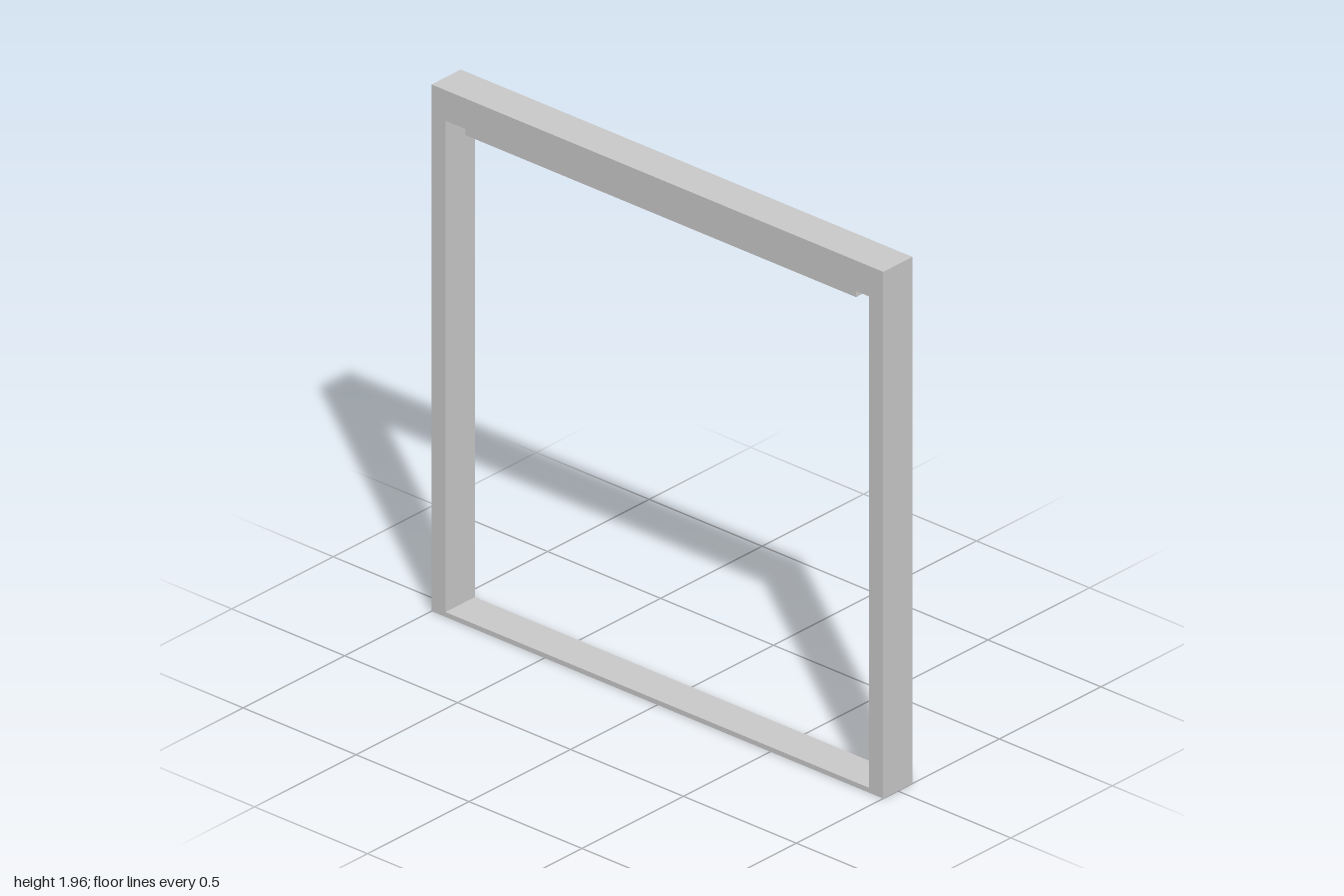
import * as THREE from 'three';

const WIDTH = 2, HEIGHT = 1.955, DEPTH = 0.144;
const POST = 0.062, LINTEL = 0.113, SILL = 0.018;

export function createModel() {
  const model = new THREE.Group();
  model.name = 'openingFrame';
  const material = new THREE.MeshStandardMaterial({ color: 0xcccccc, flatShading: true });

  // Outer frame: posts, deep lintel and thin sill in one piece
  const half = WIDTH / 2, inner = half - POST;
  const outline = new THREE.Shape([
    new THREE.Vector2(-half, 0), new THREE.Vector2(half, 0),
    new THREE.Vector2(half, HEIGHT), new THREE.Vector2(-half, HEIGHT),
  ]);
  outline.holes.push(new THREE.Path([
    new THREE.Vector2(-inner, SILL), new THREE.Vector2(-inner, HEIGHT - LINTEL),
    new THREE.Vector2(inner, HEIGHT - LINTEL), new THREE.Vector2(inner, SILL),
  ]));
  const frameGeometry = new THREE.ExtrudeGeometry(outline, { depth: DEPTH, bevelEnabled: false });
  frameGeometry.translate(0, 0, -DEPTH / 2);
  const frame = new THREE.Mesh(frameGeometry, material);
  frame.name = 'frame';
  model.add(frame);

  // Shallow rail under the lintel, set in from the posts and both faces
  const railHeight = 0.034;
  const rail = new THREE.Mesh(new THREE.BoxGeometry(1.73, railHeight, 0.112), material);
  rail.name = 'headRail';
  rail.position.y = HEIGHT - LINTEL - railHeight / 2;
  model.add(rail);

  return model;
}
